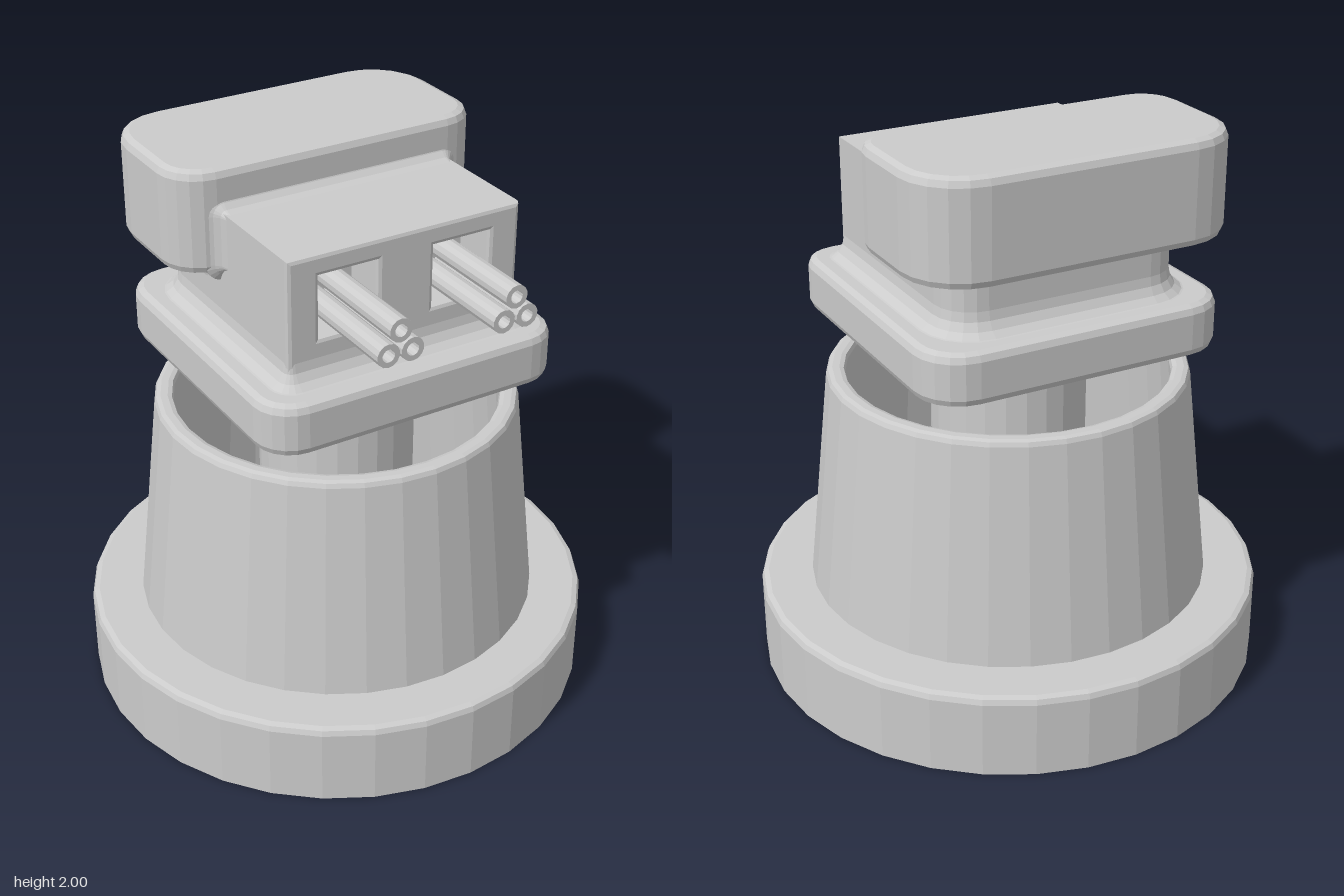
import * as THREE from 'three';

const material = new THREE.MeshStandardMaterial({ color: 0xcccccc, flatShading: true });

function part(name, geometry) {
  const mesh = new THREE.Mesh(geometry, material);
  mesh.name = name;
  return mesh;
}

function lathe(points, sides = 32) {
  return new THREE.LatheGeometry(points.map(([r, y]) => new THREE.Vector2(r, y)), sides);
}

// Rounded-rectangle section in xz, grown outward by o
function section({ hx, z0, z1, rf, rb }, o, y) {
  const out = [];
  const corners = [[1, z1, -1, rf], [1, z0, 1, rb], [-1, z0, 1, rb], [-1, z1, -1, rf]];
  corners.forEach(([sx, z, inward, r], c) => {
    for (let i = 0; i <= 5; i++) {
      const a = (c + i / 5) * Math.PI / 2;
      const R = Math.max(r + o, 0.005), shift = r + o - R;
      out.push([sx * (hx - r + shift) + R * Math.sin(a), y, z + inward * (r - shift) + R * Math.cos(a)]);
    }
  });
  return out;
}

// Closed solid through sections given as [offset, y]
function loft(rect, profile) {
  const rings = profile.map(([o, y]) => section(rect, o, y));
  const n = rings[0].length;
  const cap = y => Array(n).fill([0, y, (rect.z0 + rect.z1) / 2]);
  rings.unshift(cap(profile[0][1]));
  rings.push(cap(profile[profile.length - 1][1]));
  const index = [];
  for (let j = 0; j < rings.length - 1; j++) {
    for (let i = 0; i < n; i++) {
      const k = (i + 1) % n;
      const a = j * n + i, b = j * n + k, c = b + n, d = a + n;
      if (j > 0) index.push(a, b, d);
      if (j < rings.length - 2) index.push(b, c, d);
      if (j === 0) index.push(a, c, d);
    }
  }
  const geometry = new THREE.BufferGeometry();
  geometry.setAttribute('position', new THREE.Float32BufferAttribute(rings.flat(2), 3));
  geometry.setIndex(index);
  geometry.computeVertexNormals();
  return geometry;
}

// Profile of a slab with softened top and bottom edges
function softSlab(y0, y1, b) {
  return [[-b, y0], [-b * 0.3, y0 + b * 0.3], [0, y0 + b], [0, y1 - b], [-b * 0.3, y1 - b * 0.3], [-b, y1]];
}

// Concave flare from offset 0 at y0 to offset w at y1
function flare(w, y0, y1) {
  return [0, 1, 2, 3, 4].map(i => {
    const a = i / 4 * Math.PI / 2;
    return [w * (1 - Math.cos(a)), y0 + (y1 - y0) * Math.sin(a)];
  });
}

function rectPath(target, x0, x1, y0, y1) {
  target.moveTo(x0, y0);
  target.lineTo(x1, y0);
  target.lineTo(x1, y1);
  target.lineTo(x0, y1);
  target.closePath();
  return target;
}

export function createModel() {
  const model = new THREE.Group();

  // Round base and hollow tapered pedestal
  model.add(part('base', lathe([[0, 0], [0.905, 0], [0.905, 0.275], [0.898, 0.293], [0.88, 0.3], [0, 0.3]])));
  model.add(part('pedestal', lathe([[0.72, 0.3], [0.637, 1.08], [0.63, 1.095], [0.615, 1.1],
    [0.59, 1.1], [0.575, 1.095], [0.57, 1.08], [0.64, 0.3]])));

  // Neck column flaring into the turntable
  model.add(part('neck', lathe([[0.275, 0.3], [0.275, 1.2], [0.282, 1.222], [0.31, 1.242]], 24)));

  // Square turntable plate
  const plate = { hx: 0.553, z0: -0.553, z1: 0.553, rf: 0.13, rb: 0.16 };
  model.add(part('turntable', loft(plate, softSlab(1.24, 1.425, 0.03))));

  // Turret foot blending plate to body
  const foot = { hx: 0.43, z0: -0.43, z1: 0.43, rf: 0.025, rb: 0.13 };
  model.add(part('turretFoot', loft(foot, flare(0.075, -1.505, -1.42).reverse().map(([o, y]) => [o, -2.925 - y])
    .map(([o], i, all) => {
      const f = flare(0.075, 1.505, 1.42)[all.length - 1 - i];
      return [o, f[1]];
    }))));

  // Rear waist under the head, flaring at its top
  const waist = { hx: 0.43, z0: -0.43, z1: 0.1, rf: 0.02, rb: 0.13 };
  model.add(part('waist', loft(waist, [[0, 1.5], [0, 1.66]])));
  const underHead = { ...waist, z1: -0.09 };
  model.add(part('headFillet', loft(underHead, flare(0.06, 1.585, 1.645))));

  // Front housing with two square ports
  const bevel = 0.015;
  const front = rectPath(new THREE.Shape(), -0.43 + bevel, 0.43 - bevel, 1.47, 1.86 - bevel);
  for (const s of [-1, 1]) {
    front.holes.push(rectPath(new THREE.Path(), s * 0.21 - 0.12, s * 0.21 + 0.12, 1.555, 1.8));
  }
  const housing = new THREE.ExtrudeGeometry(front, {
    depth: 0.515, bevelSize: bevel, bevelThickness: bevel, bevelSegments: 2,
  });
  housing.translate(0, 0, -0.1);
  model.add(part('housing', housing));
  const portBack = new THREE.BoxGeometry(0.8, 0.32, 0.34);
  portBack.translate(0, 1.68, 0.1);
  model.add(part('portBack', portBack));

  // Overhanging rear head
  const head = { hx: 0.577, z0: -0.577, z1: 0, rf: 0.14, rb: 0.21 };
  model.add(part('head', loft(head, softSlab(1.64, 2, 0.03))));

  // Flared collar where the housing meets the head
  const collarRect = { hx: 0.43, z0: -1.86, z1: -1.66, rf: 0.015, rb: 0.015 };
  const collar = loft(collarRect, [[0.05, -0.06], [0.05, -0.012], [0.025, 0.002], [0.008, 0.02], [0, 0.045]]);
  collar.rotateX(Math.PI / 2);
  model.add(part('collar', collar));

  // Two clusters of three open barrels
  const tube = lathe([[0.022, 0.27], [0.04, 0.27], [0.04, 0.73], [0.022, 0.73], [0.022, 0.27]], 14);
  tube.rotateX(Math.PI / 2);
  for (const s of [-1, 1]) {
    const cluster = new THREE.Group();
    cluster.name = s > 0 ? 'leftBarrels' : 'rightBarrels';
    for (const [x, y] of [[0, 1.71], [-0.043, 1.635], [0.043, 1.635]]) {
      const barrel = part('barrel', tube);
      barrel.position.set(s * 0.21 + x, y, 0);
      cluster.add(barrel);
    }
    model.add(cluster);
  }
  return model;
}
